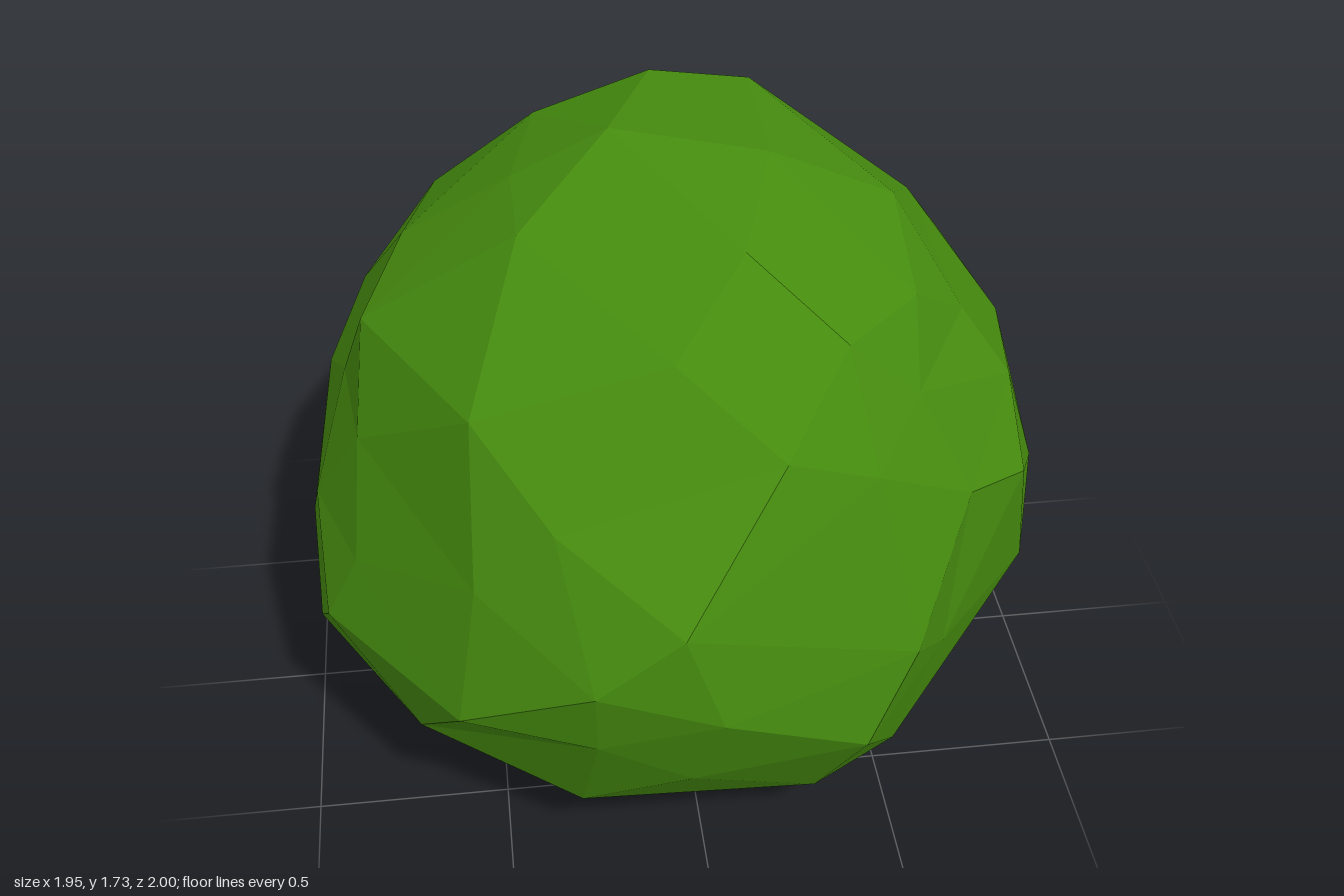
import * as THREE from 'three';
import { mergeVertices } from 'three/addons/utils/BufferGeometryUtils.js';

// Cross-sections from crown to base: [y, xMin, xMax, zMin, zMax]
const SECTIONS = [
  [1.71, 0.03, 0.03, 0.03, 0.03],
  [1.68, -0.27, 0.30, -0.35, 0.36],
  [1.54, -0.51, 0.54, -0.60, 0.58],
  [1.33, -0.75, 0.69, -0.77, 0.79],
  [1.08, -0.83, 0.87, -0.99, 0.90],
  [0.80, -0.91, 0.94, -0.99, 0.99],
  [0.55, -0.95, 0.95, -0.96, 0.97],
  [0.35, -0.94, 0.95, -0.92, 0.90],
  [0.11, -0.75, 0.77, -0.70, 0.74],
  [0.04, -0.40, 0.42, -0.45, 0.43],
  [0.02, -0.05, -0.05, -0.1, -0.1],
];

// Leafy crests and hollows that the surface is pulled to, by side
const CRESTS = {
  crown: [[-0.15, 1.73, 0.02], [0.22, 1.71, 0.14], [0.24, 1.67, -0.31], [0.54, 1.54, 0.08], [0.53, 1.46, 0.41]],
  front: [[0.33, 1.48, 0.62], [0.17, 1.29, 0.79], [0.64, 1.05, 0.65], [0.49, 0.75, 0.86], [0.01, 0.7, 1.0],
    [-0.08, 0.96, 0.98], [-0.6, 0.59, 0.8], [-0.28, 0.58, 0.92], [0.49, 0.3, 0.71]],
  left: [[0.86, 1.12, 0], [0.82, 0.97, 0.49], [0.88, 0.6, 0.38], [0.95, 0.38, 0.15], [0.9, 0.38, -0.34],
    [0.83, 0.87, -0.48]],
  right: [[-0.77, 1.31, 0.13], [-0.83, 0.78, 0.41], [-0.96, 0.4, 0.18], [-0.9, 0.85, -0.36]],
  back: [[0.11, 1.11, -1.0], [0.52, 1.14, -0.83], [0.71, 0.7, -0.71], [-0.02, 1.34, -0.74], [-0.44, 0.9, -0.9]],
  base: [[0.74, 0.06, 0.11], [-0.73, 0.11, 0], [-0.07, 0, -0.39]],
};

function seeded(seed) {
  return () => {
    seed = (seed * 16807) % 2147483647;
    return seed / 2147483647;
  };
}

// Interpolated cross-section at t = 0 (crown) to 1 (base)
function sectionAt(t) {
  const f = Math.min(t, 0.99999) * (SECTIONS.length - 1);
  const i = Math.floor(f);
  return SECTIONS[i].map((v, k) => THREE.MathUtils.lerp(v, SECTIONS[i + 1][k], f - i));
}

// Pull the nearest free point onto a crest, its neighbours following softly
function pullTo(points, locked, crest) {
  const target = new THREE.Vector3(...crest);
  let best = null;
  for (const p of points) {
    if (!locked.has(p) && (!best || p.distanceTo(target) < best.distanceTo(target))) best = p;
  }
  const from = best.clone();
  const move = target.sub(from);
  for (const p of points) {
    if (!locked.has(p)) p.addScaledVector(move, Math.exp(-p.distanceToSquared(from) / 0.07));
  }
  locked.add(best);
}

function foliageGeometry() {
  const ball = new THREE.IcosahedronGeometry(1, 2);
  ball.deleteAttribute('normal');
  ball.deleteAttribute('uv');
  const geo = mergeVertices(ball, 1e-3);
  const pos = geo.attributes.position;
  const rand = seeded(4721);
  const jitter = (amount) => (rand() - 0.5) * amount;
  const centre = new THREE.Vector3(0, 0.8, 0);
  const points = [];

  for (let i = 0; i < pos.count; i++) {
    // irregular facets: nudge each point around the sphere first
    const p = new THREE.Vector3().fromBufferAttribute(pos, i);
    p.add(new THREE.Vector3(jitter(0.14), jitter(0.14), jitter(0.14))).normalize();

    // place the point on the cross-section at its height
    const [y, x0, x1, z0, z1] = sectionAt(Math.acos(p.y) / Math.PI);
    const a = Math.atan2(p.z, p.x);
    p.set(
      (x0 + x1) / 2 + Math.cos(a) * (x1 - x0) / 2,
      y,
      (z0 + z1) / 2 + Math.sin(a) * (z1 - z0) / 2
    );

    // fine unevenness along the outward direction
    const out = p.clone().sub(centre).normalize();
    p.addScaledVector(out, jitter(y > 0.3 ? 0.05 : 0.02));
    points.push(p);
  }

  const locked = new Set();
  for (const crest of Object.values(CRESTS).flat()) pullTo(points, locked, crest);
  points.forEach((p, i) => pos.setXYZ(i, p.x, Math.max(p.y, 0), p.z));

  const faceted = geo.toNonIndexed();
  faceted.computeVertexNormals();
  return faceted;
}

export function createModel() {
  const group = new THREE.Group();
  group.name = 'bush';
  const foliage = new THREE.Mesh(
    foliageGeometry(),
    new THREE.MeshStandardMaterial({ color: 0x468c0f, flatShading: true })
  );
  foliage.name = 'foliage';
  group.add(foliage);
  return group;
}
